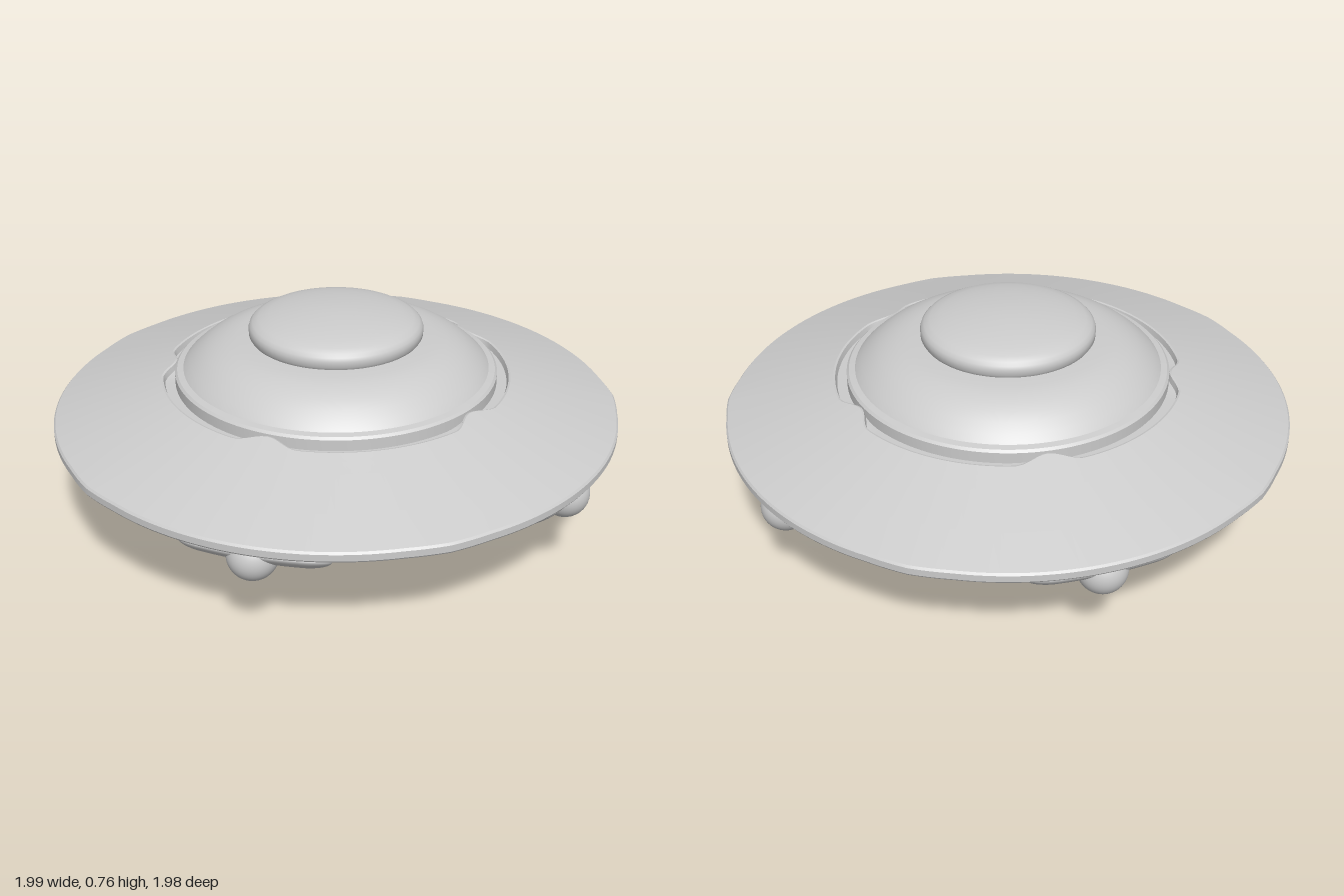
import * as THREE from 'three';
import { toCreasedNormals } from 'three/addons/utils/BufferGeometryUtils.js';

const material = new THREE.MeshStandardMaterial({ color: 0xcccccc });
const rad = THREE.MathUtils.degToRad;
const STEP = 72; // five-fold symmetry

// Degrees from the nearest of five evenly spaced directions (0 = +z, 90 = +x)
function offsetFrom(x, z, start) {
  const a = THREE.MathUtils.radToDeg(Math.atan2(x, z)) - start;
  return Math.abs(a - Math.round(a / STEP) * STEP);
}

// Turned part; the profile runs from the bottom, around the outside, to the top
function turned(name, profile, deform, segments = 180, start = 0, length = Math.PI * 2) {
  const points = profile.map(([r, y]) => new THREE.Vector2(r, y));
  let geometry = new THREE.LatheGeometry(points, segments, start, length);
  if (deform) {
    const p = geometry.attributes.position;
    const v = new THREE.Vector3();
    for (let i = 0; i < p.count; i++) {
      deform(v.fromBufferAttribute(p, i));
      p.setXYZ(i, v.x, v.y, v.z);
    }
  }
  geometry = toCreasedNormals(geometry, 0.5);
  const mesh = new THREE.Mesh(geometry, material);
  mesh.name = name;
  return mesh;
}

// Five faint corners on the rim, five notches in the edge around the dome
function shapeUpperHull(v) {
  const r = Math.hypot(v.x, v.z);
  let shift = 0;
  if (r > 0.9) {
    shift = 0.008 * Math.max(0, 1 - offsetFrom(v.x, v.z, 90) / 8);
  } else if (r > 0.57 && r < 0.69) {
    const d = offsetFrom(v.x, v.z, 48) / 11;
    shift = d < 1 ? -0.02 * (1 + Math.cos(Math.PI * d)) : 0;
    v.y -= 0.32 * shift;
  }
  v.x *= (r + shift) / r;
  v.z *= (r + shift) / r;
}

export function createModel() {
  const model = new THREE.Group();
  model.name = 'flyingSaucer';

  // Upper hull with rim and sunken channel
  model.add(turned('upperHull', [
    [0.975, 0.374], [0.988, 0.376], [0.992, 0.382], [0.992, 0.404], [0.986, 0.411],
    [0.85, 0.455], [0.7, 0.503], [0.65, 0.519], [0.613, 0.531], [0.606, 0.529],
    [0.6, 0.51], [0.54, 0.51],
  ], shapeUpperHull));

  // Collar and dome
  model.add(turned('dome', [
    [0.565, 0.505], [0.565, 0.548], [0.557, 0.556], [0.535, 0.56], [0.53, 0.566],
    [0.51, 0.585], [0.48, 0.61], [0.45, 0.629], [0.42, 0.643], [0.385, 0.655],
    [0.345, 0.662], [0.28, 0.665],
  ]));

  // Domed cap on top
  model.add(turned('topCap', [
    [0.285, 0.66], [0.297, 0.665], [0.303, 0.675], [0.304, 0.695], [0.3, 0.708],
    [0.29, 0.719], [0.27, 0.73], [0.235, 0.74], [0.19, 0.749], [0.13, 0.757],
    [0.065, 0.762], [0, 0.764],
  ]));

  // Belly panels over a recessed shell, with seams left open between them
  const depth = 0.012;
  const belly = [[0.13, 0.016], [0.3, 0.065], [0.54, 0.155], [0.8, 0.253], [0.987, 0.376]];
  model.add(turned('bellyShell', belly.map(([r, y]) => [r, y + depth])));
  const panelCounts = [5, 5, 10, 5];
  panelCounts.forEach((count, band) => {
    const a = new THREE.Vector2(...belly[band]);
    const b = new THREE.Vector2(...belly[band + 1]);
    const gap = 0.005;
    const along = b.clone().sub(a).normalize().multiplyScalar(gap);
    a.add(along);
    if (band < 3) b.sub(along);
    const profile = [[a.x, a.y + depth], [a.x, a.y], [b.x, b.y], [b.x, b.y + depth]];
    const sector = Math.PI * 2 / count;
    const angleGap = gap * 2 / (a.x + b.x);
    for (let i = 0; i < count; i++) {
      model.add(turned('bellyPanel', profile, null, 180 / count,
        rad(90) + i * sector + angleGap, sector - 2 * angleGap));
    }
  });

  // Bottom nozzle: ring, hollow bowl and a rounded lamp inside
  model.add(turned('bottomNozzle', [
    [0, 0.022], [0.03, 0.024], [0.055, 0.032], [0.07, 0.046], [0.076, 0.06],
    [0.09, 0.06], [0.104, 0.045], [0.113, 0.022], [0.118, 0.006], [0.124, 0],
    [0.14, 0], [0.147, 0.004], [0.148, 0.024], [0.135, 0.032],
  ], null, 90));

  // Raised oblong pods with round lamps around the underside
  const podGeometry = new THREE.CapsuleGeometry(0.082, 0.32, 16, 32, 16);
  podGeometry.rotateZ(Math.PI / 2);
  podGeometry.scale(1, 1, 0.25);
  const p = podGeometry.attributes.position;
  for (let i = 0; i < p.count; i++) p.setZ(i, p.getZ(i) - 0.25 * p.getX(i) ** 2);
  podGeometry.computeVertexNormals();
  const lampGeometry = new THREE.SphereGeometry(0.082, 40, 24);
  for (let i = 0; i < 5; i++) {
    const unit = new THREE.Group();
    unit.name = 'lampUnit';
    unit.rotation.y = rad(54 + i * STEP);
    const pod = new THREE.Mesh(podGeometry, material);
    pod.name = 'lampPod';
    pod.position.set(0, 0.315, 0.893);
    pod.rotation.x = 0.988;
    const lamp = new THREE.Mesh(lampGeometry, material);
    lamp.name = 'lamp';
    lamp.position.set(0, 0.325, 0.9);
    unit.add(pod, lamp);
    model.add(unit);
  }
  return model;
}
